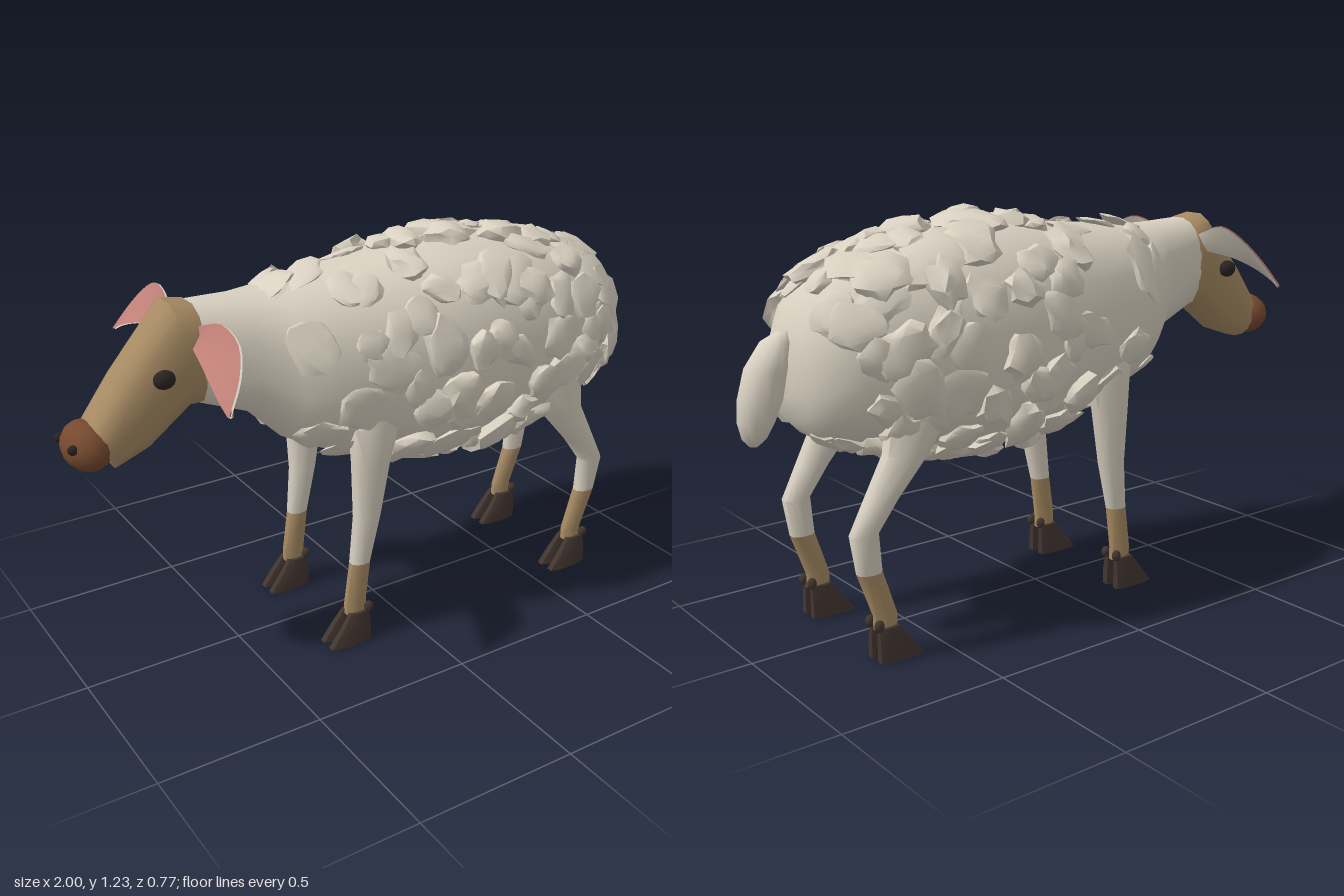
import * as THREE from 'three';
import { mergeGeometries, mergeVertices, toCreasedNormals } from 'three/addons/utils/BufferGeometryUtils.js';

const mat = (name, color, side = THREE.FrontSide) => {
  const m = new THREE.MeshStandardMaterial({ color, side });
  m.name = name;
  return m;
};

function seeded(seed) {
  return () => {
    seed = (seed * 16807) % 2147483647;
    return seed / 2147483647;
  };
}

const spow = (v, p) => Math.sign(v) * Math.abs(v) ** p;

// Skin through rings [x, y, z, u radius, v radius, slant]; axis 'x' runs toward +x, 'y' runs downward
function loft(rings, axis, sides, power = 1, crease = 0.7) {
  const pos = [], index = [], n = rings.length;
  rings.forEach(([x, y, z, a, b, slant = 0]) => {
    for (let i = 0; i < sides; i++) {
      const t = ((i + 0.5) / sides) * Math.PI * 2;
      const c = spow(Math.cos(t), power), s = spow(Math.sin(t), power);
      if (axis === 'x') pos.push(x + slant * c, y + a * c, z + b * s);
      else pos.push(x + a * c, y + slant * c, z + b * s);
    }
  });
  for (let r = 0; r < n - 1; r++) {
    for (let i = 0; i < sides; i++) {
      const j = (i + 1) % sides, p = r * sides, q = p + sides;
      index.push(p + i, p + j, q + i, p + j, q + j, q + i);
    }
  }
  const first = n * sides, last = first + 1;
  pos.push(...rings[0].slice(0, 3), ...rings[n - 1].slice(0, 3));
  for (let i = 0; i < sides; i++) {
    const j = (i + 1) % sides, q = (n - 1) * sides;
    index.push(first, j, i, last, q + i, q + j);
  }
  const g = new THREE.BufferGeometry();
  g.setAttribute('position', new THREE.Float32BufferAttribute(pos, 3));
  g.setIndex(index);
  return toCreasedNormals(g, crease);
}

// Torso stations: x, bottom, top, half width
const TORSO = [
  [-0.61, 0.835, 1.132, 0.108], [-0.45, 0.77, 1.125, 0.14], [-0.35, 0.67, 1.125, 0.205],
  [-0.24, 0.61, 1.14, 0.245], [-0.05, 0.565, 1.155, 0.28], [0.1, 0.52, 1.175, 0.305],
  [0.25, 0.51, 1.185, 0.315], [0.42, 0.53, 1.165, 0.305], [0.6, 0.57, 1.135, 0.272],
  [0.73, 0.6, 1.085, 0.23], [0.8, 0.625, 1.02, 0.185], [0.845, 0.67, 0.94, 0.125], [0.862, 0.75, 0.87, 0.06],
];
const TORSO_POWER = 0.86;

function torsoAt(x) {
  let i = 0;
  while (i < TORSO.length - 2 && x > TORSO[i + 1][0]) i++;
  const [p, q] = [TORSO[i], TORSO[i + 1]];
  const k = (x - p[0]) / (q[0] - p[0]);
  const [, lo, hi, w] = p.map((v, n) => v + (q[n] - v) * k);
  return { y: (lo + hi) / 2, h: (hi - lo) / 2, w };
}

// One irregular, flattened tuft of wool
function tuft(rand, size, depth) {
  const base = new THREE.IcosahedronGeometry(1, 1);
  base.deleteAttribute('uv');
  base.deleteAttribute('normal');
  const g = mergeVertices(base, 1e-3);
  const p = g.attributes.position;
  for (let i = 0; i < p.count; i++) {
    const k = 0.75 + rand() * 0.45;
    p.setXYZ(i, p.getX(i) * k, p.getY(i) * k, spow(p.getZ(i), 0.8) * k);
  }
  g.scale(size * (0.8 + rand() * 0.7), size * (0.7 + rand() * 0.4), depth);
  return toCreasedNormals(g, 0.8);
}

// Tufts spiral over the torso, sparse on the shoulders and thick on the back and flanks
function fleeceGeometry() {
  const rand = seeded(2024), tufts = [], count = 190;
  const dummy = new THREE.Object3D();
  for (let i = 0; i < count; i++) {
    const x = -0.36 + 1.15 * ((i + 0.5) / count) ** 0.85;
    const t = i * 2.39996 + rand() * 0.5;
    const cover = x < 0 ? 0.3 : 0.75;
    if (rand() > cover) continue;
    const { y, h, w } = torsoAt(x);
    dummy.position.set(x, y + h * spow(Math.cos(t), TORSO_POWER), w * spow(Math.sin(t), TORSO_POWER));
    const taper = (torsoAt(x - 0.04).w - torsoAt(x + 0.04).w) / 0.08;
    const out = new THREE.Vector3(0, Math.cos(t) / h, Math.sin(t) / w).normalize();
    out.x = taper;
    dummy.lookAt(dummy.position.clone().add(out));
    dummy.rotateZ(rand() * 6.28);
    dummy.updateMatrix();
    const grow = x < 0 ? 0.5 : x > 0.65 ? 0.7 : 1;
    const g = tuft(rand, 0.055 + rand() * 0.03, (0.016 + rand() * 0.024) * grow);
    tufts.push(g.applyMatrix4(dummy.matrix));
  }
  return mergeGeometries(tufts);
}

// Curved ear blade between an upper and a lower edge
function earGeometry(offset) {
  const upper = [[-0.615, 1.085, 0.09], [-0.6, 1.12, 0.2], [-0.598, 1.09, 0.29], [-0.63, 1.025, 0.35], [-0.68, 0.945, 0.384]];
  const lower = [[-0.64, 1.03, 0.09], [-0.664, 1.015, 0.2], [-0.678, 0.99, 0.28], [-0.684, 0.965, 0.335], [-0.683, 0.94, 0.382]];
  const curve = (pts) => new THREE.CatmullRomCurve3(pts.map((p) => new THREE.Vector3(...p)));
  const a = curve(upper).getPoints(12), b = curve(lower).getPoints(12);
  const pos = [], index = [];
  a.forEach((p, i) => {
    const mid = p.clone().lerp(b[i], 0.5);
    mid.x += 0.007;
    for (const v of [p, mid, b[i]]) pos.push(v.x + offset, v.y - offset * 0.5, v.z);
    if (i < 12) {
      for (const k of [0, 1]) {
        const o = i * 3 + k;
        index.push(o, o + 1, o + 3, o + 1, o + 4, o + 3);
      }
    }
  });
  const g = new THREE.BufferGeometry();
  g.setAttribute('position', new THREE.Float32BufferAttribute(pos, 3));
  g.setIndex(index);
  g.computeVertexNormals();
  return g;
}

export function createModel() {
  const model = new THREE.Group();
  model.name = 'sheep';
  const wool = mat('wool', 0xd8d0c0);
  const earBack = mat('earBack', 0xd0c8ba, THREE.DoubleSide);
  const earPink = mat('earPink', 0xc08078, THREE.DoubleSide);
  const tan = mat('tan', 0xa68a63);
  const brown = mat('muzzleBrown', 0x75492f);
  const dark = mat('hoofDark', 0x42352f);
  const black = mat('eyeBlack', 0x2a2321);
  const add = (name, geo, material, parent = model) => {
    const m = new THREE.Mesh(geo, material);
    m.name = name;
    parent.add(m);
    return m;
  };
  const ball = (name, p, s, material, parent) => {
    const m = add(name, new THREE.SphereGeometry(1, 14, 10), material, parent);
    m.position.set(...p);
    m.scale.set(...s);
  };

  // Torso, fleece and tail
  add('torso', loft(TORSO.map(([x, lo, hi, w]) => [x, (lo + hi) / 2, 0, (hi - lo) / 2, w]), 'x', 20, TORSO_POWER, 1), wool);
  add('fleece', fleeceGeometry(), wool);
  add('tail', loft([
    [0.86, 0.925, 0, 0.015, 0.018], [0.88, 0.9, 0, 0.04, 0.045], [0.912, 0.83, 0, 0.06, 0.059],
    [0.932, 0.75, 0, 0.064, 0.059], [0.947, 0.69, 0, 0.052, 0.051], [0.955, 0.645, 0, 0.034, 0.035],
    [0.958, 0.623, 0, 0.012, 0.014],
  ], 'y', 14, 1, 1.2), wool);

  // Head and muzzle
  add('head', loft([
    [-0.9, 0.765, 0, 0.064, 0.078, -0.035], [-0.8, 0.85, 0, 0.115, 0.09, -0.035],
    [-0.655, 0.99, 0, 0.155, 0.108, -0.018], [-0.605, 0.983, 0, 0.15, 0.109],
  ], 'x', 14, 0.78, 0.8), tan);
  ball('muzzle', [-0.928, 0.775, 0], [0.07, 0.071, 0.095], brown);

  for (const side of [1, -1]) {
    const half = new THREE.Group();
    half.name = side > 0 ? 'leftSide' : 'rightSide';
    half.scale.z = side;
    model.add(half);

    // Eye, nostril and ear
    ball('eye', [-0.732, 0.96, 0.106], [0.032, 0.027, 0.024], black, half);
    ball('nostril', [-0.984, 0.793, 0.05], [0.016, 0.014, 0.013], black, half);
    add('earInner', earGeometry(0), earPink, half);
    add('earOuter', earGeometry(0.006), earBack, half);

    // Legs: woolly upper part, tan shank, cloven hoof and dewclaws
    const legs = [
      ['front', -0.19, [[-0.1, 0.84, 0.18, 0.07, 0.04], [-0.12, 0.72, 0.2, 0.085, 0.054], [-0.135, 0.6, 0.2, 0.062, 0.05],
        [-0.147, 0.42, 0.196, 0.044, 0.038], [-0.172, 0.265, 0.194, 0.034, 0.028]]],
      ['hind', 0.682, [[0.53, 0.86, 0.19, 0.11, 0.06], [0.56, 0.7, 0.2, 0.1, 0.06], [0.6, 0.59, 0.2, 0.074, 0.05],
        [0.685, 0.47, 0.197, 0.052, 0.042], [0.742, 0.38, 0.195, 0.042, 0.036], [0.728, 0.265, 0.194, 0.038, 0.028]]],
    ];
    for (const [name, fx, upper] of legs) {
      const leg = new THREE.Group();
      leg.name = name + 'Leg';
      half.add(leg);
      add('upperLeg', loft(upper, 'y', 10, 0.9, 0.8), wool, leg);
      add('shank', loft([upper[upper.length - 1], [fx, 0.13, 0.194, 0.036, 0.024], [fx, 0.09, 0.194, 0.036, 0.024]], 'y', 10, 0.9, 0.8), tan, leg);
      for (const dz of [-0.025, 0.025]) {
        const z = 0.194 + dz;
        add('hoof', loft([
          [fx + 0.002, 0.1, z - dz * 0.2, 0.034, 0.014], [fx - 0.015, 0.05, z, 0.054, 0.019], [fx - 0.034, 0, z, 0.074, 0.021],
        ], 'y', 8, 0.7, 0.5), dark, leg);
        ball('dewclaw', [fx + 0.034, 0.11, z], [0.015, 0.018, 0.013], dark, leg);
      }
    }
  }
  return model;
}
